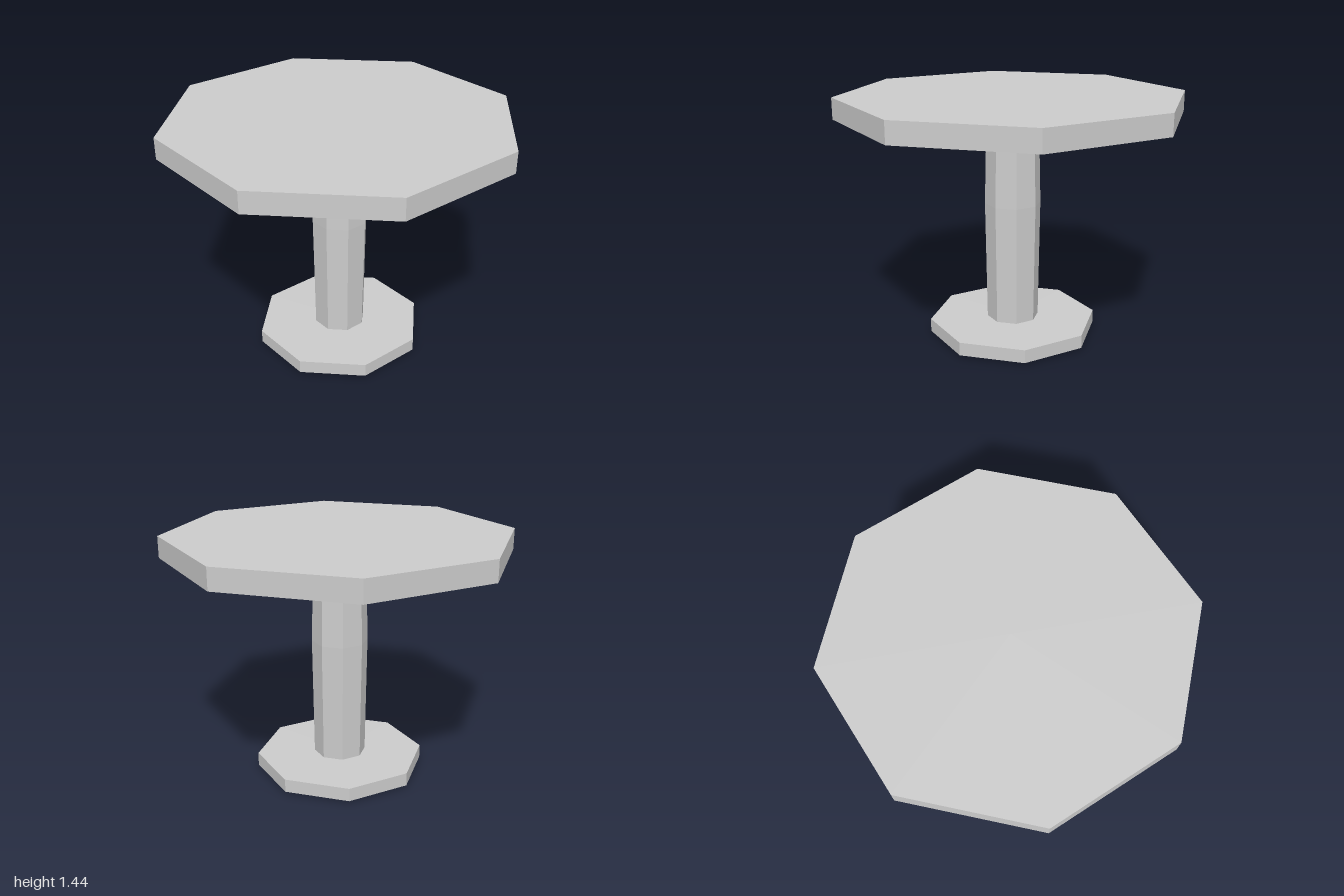
import * as THREE from 'three';

const SIDES = 8;

export function createModel() {
  const group = new THREE.Group();
  group.name = 'pedestalTable';

  const paleGrey = new THREE.MeshStandardMaterial({ color: 0xcccccc, flatShading: true });
  paleGrey.name = 'paleGrey';

  // Eight-sided turned part from a [radius, height] profile, listed bottom to top
  const turned = (name, profile) => {
    const points = profile.map(([r, y]) => new THREE.Vector2(r, y));
    const mesh = new THREE.Mesh(new THREE.LatheGeometry(points, SIDES), paleGrey);
    mesh.name = name;
    group.add(mesh);
  };

  // Foot plate with slightly domed faces
  turned('base', [[0, 0], [0.495, 0.012], [0.495, 0.09], [0, 0.097]]);

  // Post, swelling gently in the middle
  turned('post', [[0.152, 0.08], [0.163, 0.8], [0.15, 1.32]]);

  // Table top with slightly domed faces
  turned('tableTop', [[0, 1.303], [1, 1.31], [1, 1.432], [0, 1.44]]);

  return group;
}
